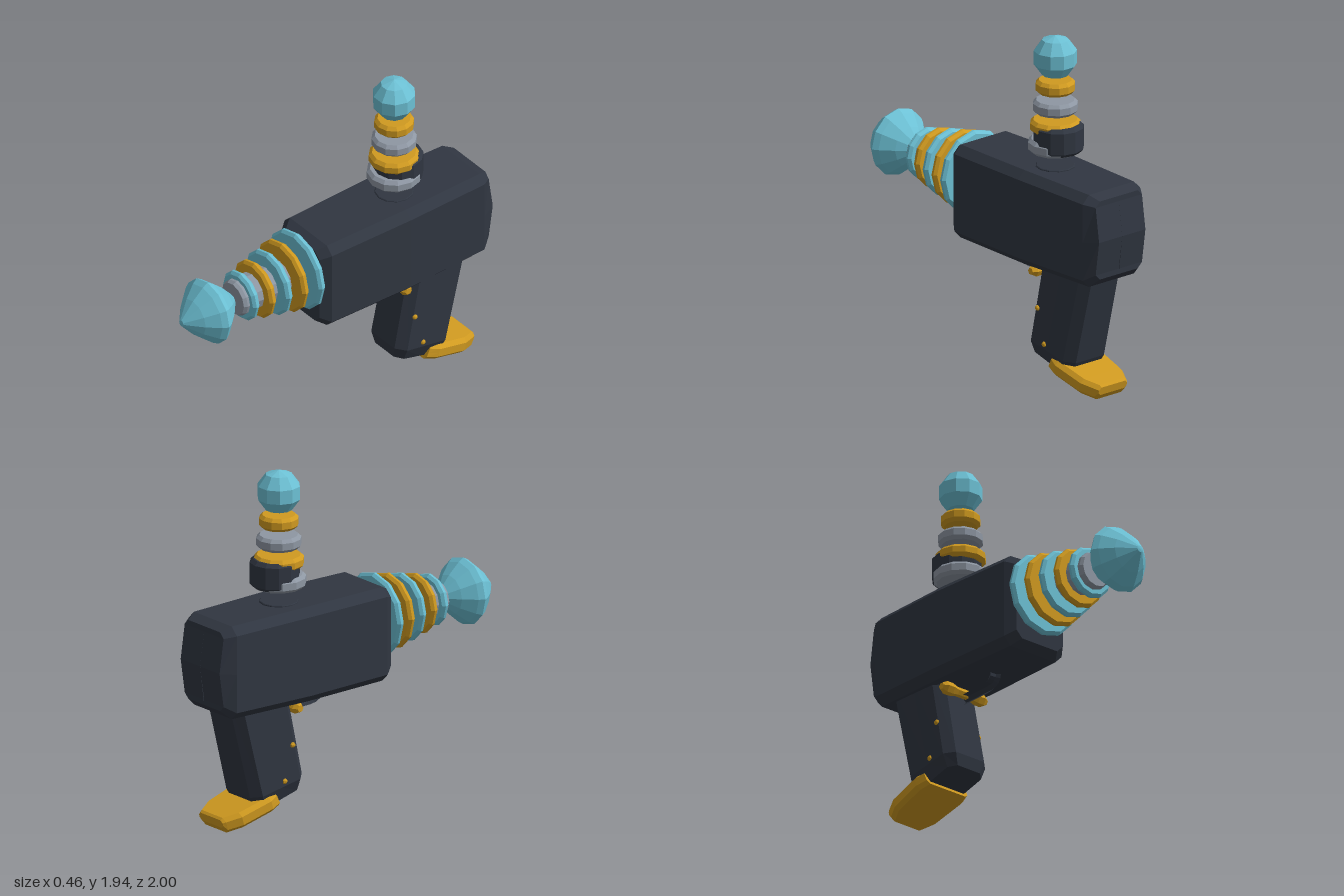
import * as THREE from 'three';

const mat = (name, color) => {
  const m = new THREE.MeshStandardMaterial({ color });
  m.name = name;
  return m;
};

// Faceted normals; also turns a closed solid outward by its signed volume
function facet(geo) {
  const g = geo.index ? geo.toNonIndexed() : geo;
  const p = g.attributes.position;
  const a = new THREE.Vector3(), b = new THREE.Vector3(), c = new THREE.Vector3();
  const out = [];
  let volume = 0;
  for (let i = 0; i < p.count; i += 3) {
    a.fromBufferAttribute(p, i);
    b.fromBufferAttribute(p, i + 1);
    c.fromBufferAttribute(p, i + 2);
    volume += a.dot(b.clone().cross(c));
    out.push([a.toArray(), b.toArray(), c.toArray()]);
  }
  if (volume < 0) out.forEach((t) => t.reverse());
  const r = new THREE.BufferGeometry();
  r.setAttribute('position', new THREE.Float32BufferAttribute(out.flat(2), 3));
  r.computeVertexNormals();
  return r;
}

// Skins equal-length loops of [x, y, z] and closes both ends
function loft(loops) {
  const n = loops[0].length;
  const pos = loops.flat();
  const index = [];
  for (let s = 0; s < loops.length - 1; s++) {
    for (let i = 0; i < n; i++) {
      const j = (i + 1) % n, a = s * n, b = a + n;
      index.push(a + i, a + j, b + j, a + i, b + j, b + i);
    }
  }
  const last = (loops.length - 1) * n;
  for (let i = 1; i < n - 1; i++) {
    index.push(0, i + 1, i, last, last + i, last + i + 1);
  }
  const g = new THREE.BufferGeometry();
  g.setAttribute('position', new THREE.Float32BufferAttribute(pos.flat(), 3));
  g.setIndex(index);
  return facet(g);
}

// Chamfered loop between side-view points p and q ([z, y]), half width w, chamfer c
function bevelLoop(p, q, w, c) {
  const d = c / Math.hypot(q[0] - p[0], q[1] - p[1]);
  const at = (x, t) => [x, p[1] + (q[1] - p[1]) * t, p[0] + (q[0] - p[0]) * t];
  return [
    at(w - c, 0), at(w, d), at(w, 0.5), at(w, 1 - d), at(w - c, 1),
    at(c - w, 1), at(-w, 1 - d), at(-w, 0.5), at(-w, d), at(c - w, 0),
  ];
}

const lathe = (pts, sides) =>
  facet(new THREE.LatheGeometry(pts.map(([r, y]) => new THREE.Vector2(r, y)), sides));

// Solid disc with bevelled rim, centred on its own origin
function disc(r, h, bevel, sides = 12) {
  const y = h / 2;
  return lathe([[0, -y], [r - bevel, -y], [r, -y + bevel], [r, y - bevel], [r - bevel, y], [0, y]], sides);
}

export function createModel() {
  const model = new THREE.Group();
  model.name = 'rayBlaster';
  const dark = mat('charcoal', 0x303641);
  const gold = mat('gold', 0xd09a20);
  const grey = mat('steelGrey', 0x8e97a3);
  const teal = mat('teal', 0x6cc0d4);

  const add = (name, geo, material, x = 0, y = 0, z = 0) => {
    const m = new THREE.Mesh(geo, material);
    m.name = name;
    m.position.set(x, y, z);
    model.add(m);
    return m;
  };

  // Main body, front to back, with a ridge across the rear face
  const rear = bevelLoop([-0.97, 0.72], [-0.97, 1.165], 0.165, 0.03);
  rear[2][2] = rear[7][2] = -0.998;
  const body = [
    bevelLoop([0.185, 0.7], [0.185, 1.165], 0.165, 0.04),
    bevelLoop([0.13, 0.665], [0.13, 1.195], 0.205, 0.045),
    bevelLoop([-0.4, 0.663], [-0.4, 1.198], 0.218, 0.045),
    bevelLoop([-0.91, 0.668], [-0.91, 1.192], 0.205, 0.045),
    rear,
  ];
  // Rear closed by two folded panels
  const tail = rear.map(([x, y, z]) => [x * 0.001, y, z]);
  add('body', loft([...body, tail]), dark);

  // Barrel and its growing rings
  const barrel = add('barrel', lathe([[0, 0.1], [0.105, 0.1], [0.105, 0.625], [0.095, 0.645], [0, 0.645]], 12), grey, 0, 0.984, 0);
  barrel.rotation.x = Math.PI / 2;
  [0.232, 0.21, 0.19, 0.168, 0.144].forEach((r, i) => {
    const ring = add('barrelRing', disc(r, 0.044, 0.015), i % 2 ? gold : teal, 0, 0.984, 0.209 + i * 0.0948);
    ring.rotation.x = Math.PI / 2;
  });

  // Pointed muzzle crystal
  const tip = add('muzzleTip', lathe([
    [0, 0.64], [0.035, 0.655], [0.11, 0.72], [0.17, 0.787], [0.189, 0.818],
    [0.17, 0.85], [0.11, 0.917], [0.018, 0.997], [0, 1],
  ], 12), teal, 0, 0.984, 0);
  tip.rotation.x = Math.PI / 2;

  // Antenna: floating rings, collar and ball
  const az = -0.455;
  add('antennaBase', disc(0.107, 0.02, 0.004), dark, 0, 1.195, az);
  [
    ['antennaRing', 0.149, 0.075, 1.32, grey],
    ['antennaRing', 0.138, 0.07, 1.43, gold],
    ['antennaRing', 0.123, 0.074, 1.54, grey],
    ['antennaRing', 0.108, 0.074, 1.653, gold],
  ].forEach(([name, r, h, y, m]) => add(name, disc(r, h, 0.018), m, 0, y, az));
  add('antennaCollar', disc(0.137, 0.16, 0.02), dark, 0, 1.37, -0.483);
  add('antennaBall', facet(new THREE.SphereGeometry(0.123, 10, 5)), teal, 0, 1.817, az);

  // Slanted grip
  add('grip', loft([
    bevelLoop([-0.485, 0.75], [-0.88, 0.75], 0.145, 0.05),
    bevelLoop([-0.378, 0.235], [-0.735, 0.17], 0.15, 0.05),
    bevelLoop([-0.388, 0.165], [-0.69, 0.085], 0.12, 0.04),
  ]), dark);

  // Foot plate at the heel of the grip
  add('footPlate', loft([
    bevelLoop([-0.556, 0.1], [-0.594, 0.182], 0.145, 0.02),
    bevelLoop([-0.62, 0.081], [-0.645, 0.168], 0.164, 0.022),
    bevelLoop([-0.81, 0.027], [-0.835, 0.115], 0.15, 0.022),
    bevelLoop([-0.888, 0.004], [-0.915, 0.092], 0.11, 0.022),
    bevelLoop([-0.916, 0.035], [-0.927, 0.08], 0.1, 0.015),
  ]), gold);

  // Rivets on both sides of the grip
  for (const side of [-1, 1]) {
    for (const [z, y] of [[-0.48, 0.428], [-0.535, 0.235]]) {
      add('rivet', facet(new THREE.SphereGeometry(0.016, 8, 5)), gold, side * 0.147, y, z);
    }
  }

  // Cross pin above the trigger
  const pin = add('triggerPin', lathe([
    [0, -0.157], [0.02, -0.157], [0.036, -0.13], [0.036, -0.09], [0.026, -0.05],
    [0.026, 0.05], [0.036, 0.09], [0.036, 0.13], [0.02, 0.157], [0, 0.157],
  ], 6), gold, 0, 0.625, -0.432);
  pin.rotation.z = Math.PI / 2;

  // Trigger guard loop
  const path = new THREE.CatmullRomCurve3([
    [0.7, -0.17], [0.635, -0.175], [0.602, -0.215], [0.594, -0.33], [0.592, -0.45], [0.6, -0.52],
  ].map(([y, z]) => new THREE.Vector3(0, y, z)));
  const guard = new THREE.TubeGeometry(path, 14, 0.023, 6);
  guard.scale(1.6, 1, 1);
  add('triggerGuard', facet(guard), dark);

  return model;
}
